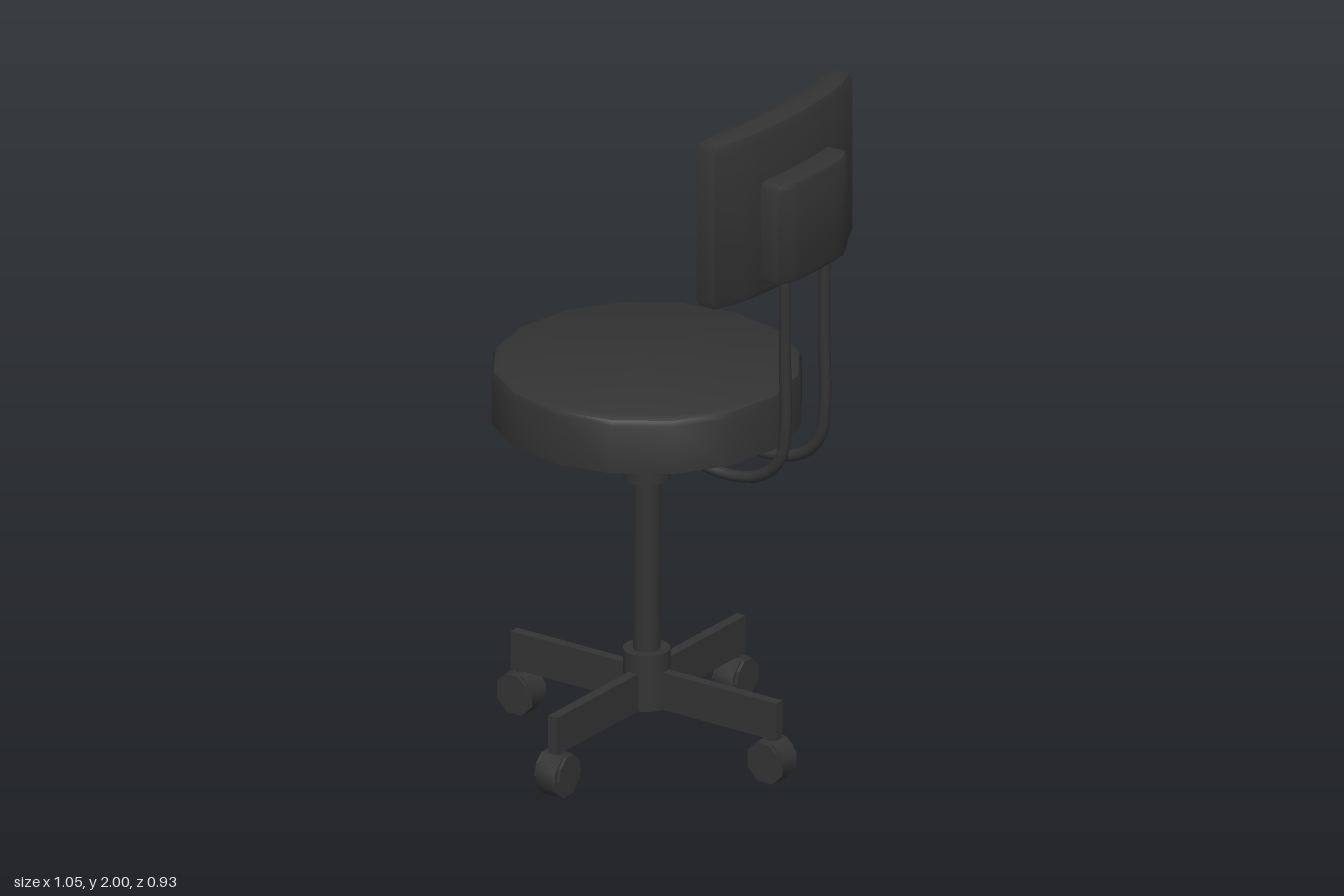
import * as THREE from 'three';
import { toCreasedNormals } from 'three/addons/utils/BufferGeometryUtils.js';

const material = new THREE.MeshStandardMaterial({ color: 0x333333, side: THREE.DoubleSide });

function addPart(parent, name, geometry, x = 0, y = 0, z = 0) {
  const mesh = new THREE.Mesh(geometry, material);
  mesh.name = name;
  mesh.position.set(x, y, z);
  parent.add(mesh);
  return mesh;
}

// Upright cylinder from y0 to y1
function addPost(parent, name, radius, y0, y1, sides = 16) {
  return addPart(parent, name, new THREE.CylinderGeometry(radius, radius, y1 - y0, sides), 0, (y0 + y1) / 2, 0);
}

// Cushion curved in plan, with bevelled edges: x0..x1 is its thickness, bend pulls the ends towards -x
function curvedPad(x0, x1, halfWidth, y0, y1, bend, bevel) {
  const n = 10, cut = 0.012, inner = [], outer = [];
  const w = halfWidth - bevel;
  for (let i = 0; i <= n; i++) {
    const v = w * (2 * i / n - 1);
    const shift = -bend * (v / w) ** 2;
    const c = i === 0 || i === n ? cut : 0;
    inner.push(new THREE.Vector2(x0 + bevel + c + shift, v));
    outer.push(new THREE.Vector2(x1 - bevel - c + shift, v));
  }
  const geometry = new THREE.ExtrudeGeometry(new THREE.Shape([...outer, ...inner.reverse()]), {
    depth: y1 - y0 - 2 * bevel, bevelThickness: bevel, bevelSize: bevel, bevelSegments: 2,
  });
  geometry.rotateX(-Math.PI / 2).translate(0, y0 + bevel, 0);
  return toCreasedNormals(geometry, 0.7);
}

// Wheel with a half-round hood and a pin
function makeCaster() {
  const caster = new THREE.Group();
  caster.name = 'caster';
  const wheel = new THREE.CylinderGeometry(0.064, 0.064, 0.065, 8);
  wheel.rotateY(Math.PI / 8).rotateX(Math.PI / 2);
  addPart(caster, 'wheel', toCreasedNormals(wheel, 0.9), 0, 0.06, 0);
  const hood = new THREE.Shape();
  hood.moveTo(0.052, 0);
  for (let i = 1; i <= 5; i++) {
    const a = i * Math.PI / 5;
    hood.lineTo(0.052 * Math.cos(a), 0.062 * Math.sin(a));
  }
  const hoodGeometry = new THREE.ExtrudeGeometry(hood, { depth: 0.084, bevelEnabled: false });
  addPart(caster, 'hood', hoodGeometry.translate(0, 0.06, -0.042));
  addPost(caster, 'pin', 0.015, 0.1, 0.14, 6);
  return caster;
}

export function createModel() {
  const model = new THREE.Group();
  const chair = new THREE.Group();
  chair.name = 'chair';
  chair.position.x = -0.065;
  chair.rotation.y = -0.33;
  model.add(chair);

  // Seat: a shell open underneath
  const seatProfile = [[0.43, 0.98], [0.43, 1.12], [0.424, 1.135], [0.405, 1.145], [0, 1.147]]
    .map(([r, y]) => new THREE.Vector2(r, y));
  addPart(chair, 'seat', toCreasedNormals(new THREE.LatheGeometry(seatProfile, 16), 0.7));

  // Column
  addPost(chair, 'hub', 0.066, 0.125, 0.29);
  addPost(chair, 'column', 0.038, 0.28, 0.9);
  addPost(chair, 'columnSleeve', 0.066, 0.795, 0.985);

  // Four thin legs with casters
  for (let i = 0; i < 4; i++) {
    const leg = new THREE.Group();
    leg.name = 'leg';
    leg.rotation.y = i * Math.PI / 2;
    addPart(leg, 'legBar', new THREE.BoxGeometry(0.445, 0.11, 0.03), 0.2225, 0.18, 0);
    const caster = makeCaster();
    caster.position.x = 0.42;
    leg.add(caster);
    chair.add(leg);
  }

  // Backrest and its rear cover
  addPart(chair, 'backrest', curvedPad(0.415, 0.51, 0.325, 1.5, 2.0, 0.03, 0.028));
  addPart(chair, 'backrestCover', curvedPad(0.48, 0.585, 0.165, 1.545, 1.845, 0.01, 0.018));

  // Pair of bent support tubes
  for (const side of [-1, 1]) {
    const points = [[0.53, 1.58], [0.53, 1.3], [0.53, 1.08], [0.513, 1.0], [0.45, 0.94], [0.36, 0.917], [0.27, 0.922], [0.195, 0.95]]
      .map(([x, y]) => new THREE.Vector3(x, y, side * 0.093));
    const path = new THREE.CatmullRomCurve3(points);
    addPart(chair, 'supportTube', new THREE.TubeGeometry(path, 28, 0.017, 8));
    const cap = addPart(chair, 'tubeCap', new THREE.CircleGeometry(0.017, 8));
    cap.position.copy(points[points.length - 1]);
    cap.lookAt(cap.position.clone().add(path.getTangent(1)));
  }

  // Height lever with a flat tapered paddle
  const lever = new THREE.Group();
  lever.name = 'heightLever';
  lever.position.set(0, 0.908, -0.05);
  lever.rotation.x = -0.125;
  addPart(lever, 'leverRod', new THREE.CylinderGeometry(0.007, 0.007, 0.32, 6).rotateX(Math.PI / 2), 0, 0, -0.15);
  const paddle = new THREE.Shape([[-0.012, 0.28], [0.012, 0.28], [0.036, 0.32], [0.036, 0.385], [-0.036, 0.385], [-0.036, 0.32]]
    .map(([x, y]) => new THREE.Vector2(x, y)));
  addPart(lever, 'leverPaddle', new THREE.ExtrudeGeometry(paddle, { depth: 0.01, bevelEnabled: false }).rotateX(-Math.PI / 2), 0, -0.005, 0);
  chair.add(lever);

  return model;
}
